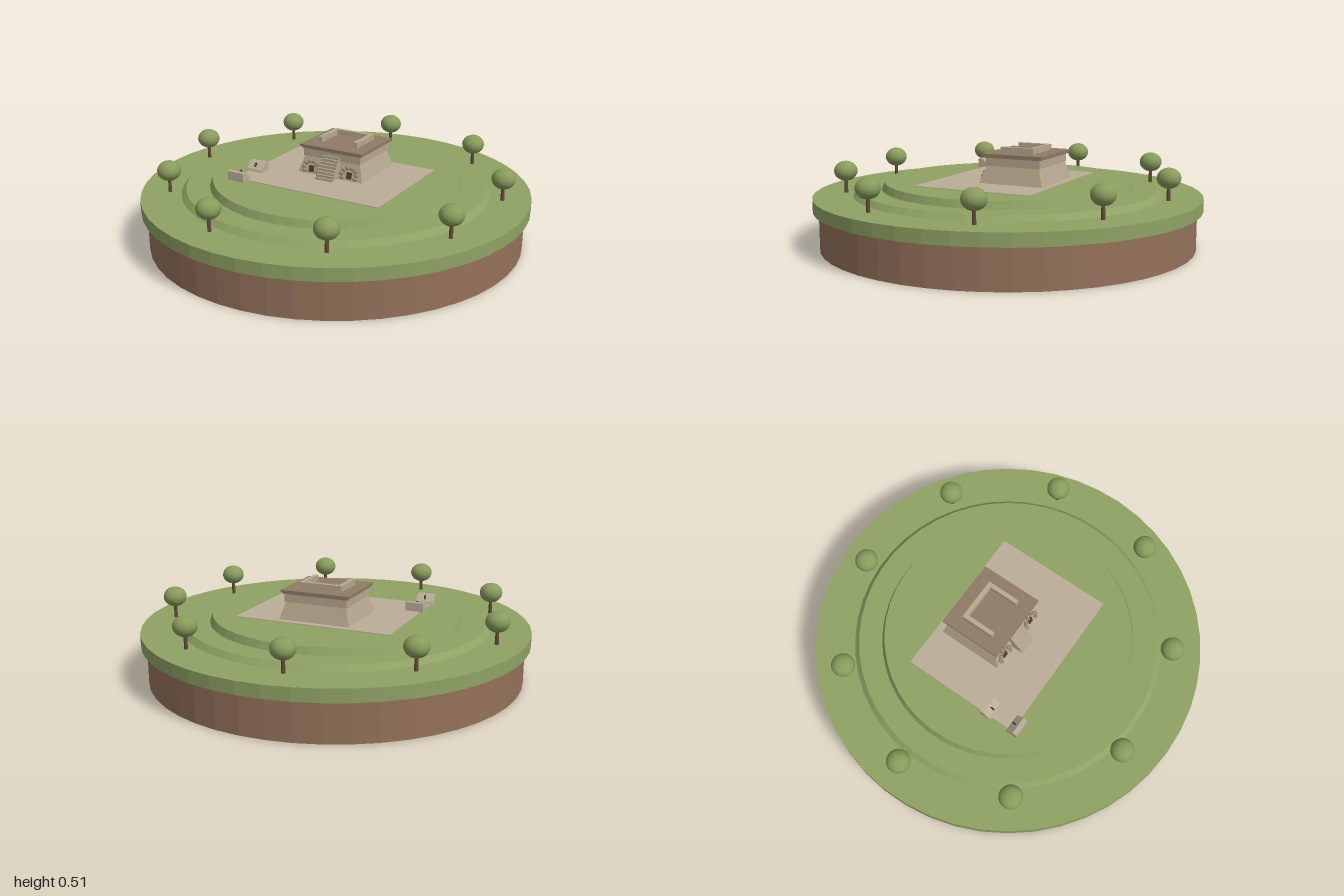
import * as THREE from 'three';

const material = (name, color) => {
  const m = new THREE.MeshStandardMaterial({ color });
  m.name = name;
  return m;
};

export function createModel() {
  const grass = material('grass', 0x8fa264);
  const leaf = material('leaf', 0x889c5c);
  const soil = material('soil', 0x94715a);
  const paving = material('paving', 0xbbad97);
  const stone = material('stone', 0xb8a98f);
  const roofStone = material('roof stone', 0x8f7b67);
  const carved = material('carved stone', 0x9c8870);
  const dark = material('dark opening', 0x4a3d32);
  const bark = material('bark', 0x65493a);

  const model = new THREE.Group();
  model.name = 'templeIsland';

  const add = (parent, name, geometry, mat, x = 0, y = 0, z = 0) => {
    const mesh = new THREE.Mesh(geometry, mat);
    mesh.name = name;
    mesh.position.set(x, y, z);
    parent.add(mesh);
    return mesh;
  };
  const flat = (geometry) => {
    const g = geometry.toNonIndexed();
    g.computeVertexNormals();
    return g;
  };
  // Round layer standing between two heights, with faceted sides
  const disc = (name, rTop, rBottom, y0, y1, mat) =>
    add(model, name, flat(new THREE.CylinderGeometry(rTop, rBottom, y1 - y0, 48)), mat, 0, (y0 + y1) / 2);
  // Block between two heights
  const block = (parent, name, w, d, y0, y1, mat, x = 0, z = 0) =>
    add(parent, name, new THREE.BoxGeometry(w, y1 - y0, d), mat, x, (y0 + y1) / 2, z);
  // Block whose top is narrower than its foot
  const battered = (parent, name, w, d, wTop, dTop, y0, y1, mat) => {
    const g = new THREE.BoxGeometry(w, y1 - y0, d);
    const p = g.attributes.position;
    for (let i = 0; i < p.count; i++) {
      if (p.getY(i) > 0) p.setXYZ(i, p.getX(i) * wTop / w, p.getY(i), p.getZ(i) * dTop / d);
    }
    return add(parent, name, flat(g), mat, 0, (y0 + y1) / 2);
  };

  // Ground layers
  disc('soilBase', 0.97, 0.97, 0, 0.2, soil);
  disc('grassPlate', 1, 1, 0.2, 0.265, grass);
  disc('lowerTerrace', 0.77, 0.795, 0.265, 0.293, grass);
  disc('upperTerrace', 0.635, 0.65, 0.293, 0.33, grass);

  // Everything built stands on a turned court
  const site = new THREE.Group();
  site.name = 'templeSite';
  site.rotation.y = -THREE.MathUtils.degToRad(20);
  model.add(site);
  block(site, 'plaza', 0.83, 0.63, 0.326, 0.333, paving);

  // Temple: battered walls, upright band, cornice and roof
  const temple = new THREE.Group();
  temple.name = 'temple';
  temple.position.z = -0.106;
  site.add(temple);
  battered(temple, 'batteredWalls', 0.38, 0.345, 0.325, 0.29, 0.33, 0.42, stone);
  block(temple, 'wallBand', 0.335, 0.3, 0.42, 0.462, stone);
  block(temple, 'cornice', 0.35, 0.315, 0.462, 0.471, roofStone);
  block(temple, 'roof', 0.365, 0.33, 0.471, 0.483, roofStone);

  // Low roof wall, open to the front
  block(temple, 'parapetBack', 0.23, 0.022, 0.483, 0.513, stone, 0, -0.079);
  for (const s of [-1, 1]) {
    block(temple, 'parapetSide', 0.022, 0.158, 0.483, 0.513, stone, s * 0.104, 0.011);
  }

  // Front stairs
  const steps = 8;
  for (let i = 0; i < steps; i++) {
    const front = 0.232 - i * 0.0105;
    const back = 0.14;
    block(temple, 'stairStep', 0.1, front - back, 0.33 + i * 0.0138, 0.33 + (i + 1) * 0.0138,
      stone, 0, (front + back) / 2);
  }

  // Niche under an arch of carved knobs, on each side of the stairs
  const tilt = -Math.atan2(0.0275, 0.09);
  const knob = flat(new THREE.IcosahedronGeometry(0.0105, 1));
  for (const s of [-1, 1]) {
    const ornament = new THREE.Group();
    ornament.name = 'nicheOrnament';
    ornament.position.set(s * 0.112, 0.362, 0.163);
    ornament.rotation.x = tilt;
    temple.add(ornament);
    add(ornament, 'niche', new THREE.BoxGeometry(0.028, 0.034, 0.008), dark, 0, -0.004, 0.001);
    for (let i = 0; i < 8; i++) {
      const a = (-0.15 + i * 1.3 / 7) * Math.PI;
      add(ornament, 'archKnob', knob, carved, Math.cos(a) * 0.043, Math.sin(a) * 0.036, 0.007);
    }
  }

  // Pair of sloped court walls facing each other, each with a stone ring
  const profile = new THREE.Shape([
    [-0.032, 0], [0.032, 0], [0.026, 0.016], [-0.008, 0.048], [-0.032, 0.048],
  ].map(([x, y]) => new THREE.Vector2(x, y)));
  const wallGeometry = new THREE.ExtrudeGeometry(profile, { depth: 0.095, bevelEnabled: false });
  wallGeometry.translate(0, 0, -0.0475);
  wallGeometry.rotateY(-Math.PI / 2);
  for (const s of [-1, 1]) {
    const wall = new THREE.Group();
    wall.name = 'courtWall';
    wall.position.set(-0.383, 0.33, 0.241 + s * 0.08);
    wall.rotation.y = s > 0 ? Math.PI : 0;
    site.add(wall);
    add(wall, 'slopedWall', wallGeometry, paving);
    const ring = add(wall, 'courtRing', new THREE.TorusGeometry(0.009, 0.0035, 6, 12), dark, 0, 0.036, 0.014);
    ring.rotation.y = Math.PI / 2;
  }

  // Ring of round trees
  const trunk = new THREE.CylinderGeometry(0.008, 0.01, 0.085, 8);
  const crown = new THREE.SphereGeometry(0.06, 20, 14);
  crown.scale(1, 0.86, 1);
  const spots = [
    [-0.4, -0.75], [0.18, -0.815], [0.68, -0.5], [-0.795, -0.335], [0.855, 0.05],
    [-0.82, 0.235], [0.635, 0.575], [-0.46, 0.7], [0.115, 0.83],
  ];
  for (const [x, z] of spots) {
    const tree = new THREE.Group();
    tree.name = 'tree';
    tree.position.set(x, 0.265, z);
    model.add(tree);
    add(tree, 'trunk', trunk, bark, 0, 0.0425, 0);
    add(tree, 'crown', crown, leaf, 0, 0.113, 0);
  }

  return model;
}
